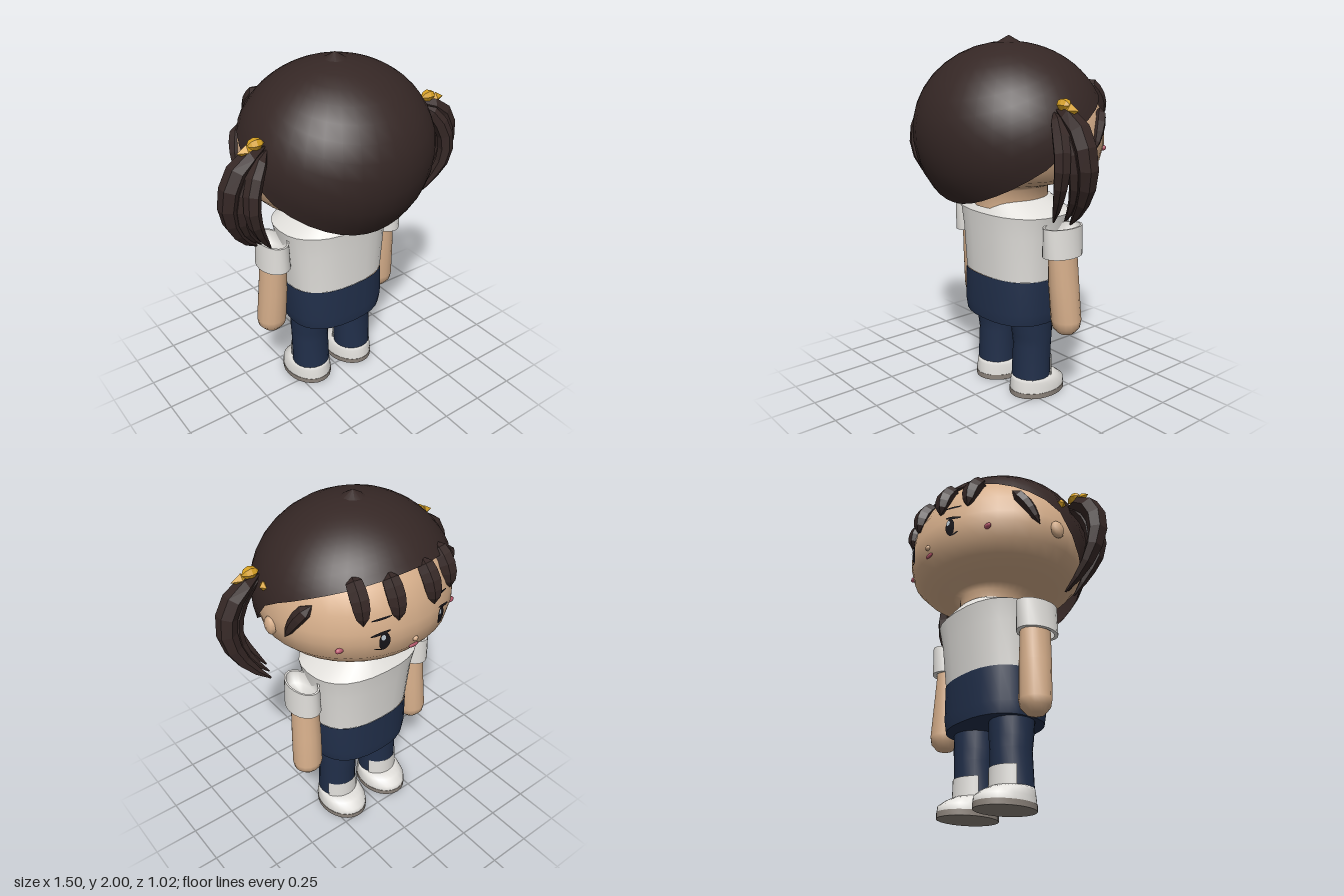
import * as THREE from 'three';

const V = (x, y, z) => new THREE.Vector3(x, y, z);

// Head cross-sections from neck to crown: [y, half width, half depth, z centre]
const HEAD = [
  [1.1, .185, .215, -.02], [1.2, .19, .215, -.02], [1.22, .24, .245, -.02], [1.25, .34, .33, -.015],
  [1.29, .44, .42, -.01], [1.35, .5, .47, -.01], [1.44, .525, .49, -.01], [1.5, .525, .488, -.01],
  [1.6, .51, .475, -.01], [1.7, .46, .43, -.01], [1.8, .37, .35, -.01], [1.9, .23, .21, -.01], [1.94, 0, 0, -.01],
];

// Piecewise linear lookup in a table whose first column ascends
function sample(table, v) {
  let i = 0;
  while (i < table.length - 2 && v > table[i + 1][0]) i++;
  const a = table[i], b = table[i + 1];
  const t = THREE.MathUtils.clamp((v - a[0]) / (b[0] - a[0]), 0, 1);
  return a.map((n, k) => n + (b[k] - n) * t);
}

// Point on the face, which looks towards -z
function onFace(x, y, offset = 0) {
  const [, rx, rz, cz] = sample(HEAD, y);
  return V(x, y, cz - rz * Math.sqrt(Math.max(0, 1 - (x / rx) ** 2)) - offset);
}

// Surface over a grid of rows going upward and columns going round
function grid(rows, cols, point) {
  const pos = [], idx = [];
  for (let i = 0; i < rows; i++) {
    for (let j = 0; j < cols; j++) {
      pos.push(...point(i, j / cols * Math.PI * 2));
      if (i === rows - 1) continue;
      const a = i * cols + j, b = i * cols + (j + 1) % cols;
      idx.push(a, b, a + cols, b, b + cols, a + cols);
    }
  }
  const g = new THREE.BufferGeometry();
  g.setAttribute('position', new THREE.Float32BufferAttribute(pos, 3));
  g.setIndex(idx);
  g.computeVertexNormals();
  return g;
}

// Stack of (super)elliptical rings; a repeated ring gives a sharp edge
function loft(rings, sides = 24, power = 2) {
  const bend = v => Math.sign(v) * Math.abs(v) ** (2 / power);
  return grid(rings.length, sides, (i, a) => {
    const [y, rx, rz, cz = 0, cx = 0] = rings[i];
    return [cx + rx * bend(Math.sin(a)), y, cz + rz * bend(Math.cos(a))];
  });
}

// Faceted tapering lock along a curve
function lock(points, radii, sides = 6) {
  const curve = new THREE.CatmullRomCurve3(points);
  const n = radii.length - 1;
  const g = new THREE.TubeGeometry(curve, n, 1, sides);
  const p = g.attributes.position, v = V();
  for (let k = 0; k < p.count; k++) {
    const i = Math.floor(k / (sides + 1));
    const c = curve.getPointAt(i / n);
    v.fromBufferAttribute(p, k).sub(c).multiplyScalar(radii[i]).add(c);
    p.setXYZ(k, v.x, v.y, v.z);
  }
  const flat = g.toNonIndexed();
  flat.computeVertexNormals();
  return flat;
}

// Thin oval laid on the face
function facePatch(x, y, w, h, tilt = 0, offset = .005) {
  const g = new THREE.CircleGeometry(1, 16).scale(w, h, 1).rotateZ(tilt).translate(x, y, 0);
  const p = g.attributes.position;
  for (let i = 0; i < p.count; i++) p.setZ(i, onFace(p.getX(i), p.getY(i), offset).z);
  g.computeVertexNormals();
  return g;
}

export function createModel() {
  const model = new THREE.Group();
  const material = (name, color, side = THREE.FrontSide) => {
    const m = new THREE.MeshStandardMaterial({ color, side });
    m.name = name;
    return m;
  };
  const hair = material('dark brown hair', 0x352725, THREE.DoubleSide);
  const skin = material('skin', 0xd8b08c);
  const white = material('off white cloth', 0xe2e0dc, THREE.DoubleSide);
  const navy = material('navy cloth', 0x212f4a);
  const sole = material('taupe sole', 0x8d847c);
  const gold = material('gold ribbon', 0xd6a022);
  const pink = material('pink', 0xb8586c);
  const ink = material('eye black', 0x17151a, THREE.DoubleSide);
  const shine = material('eye highlight', 0xb9c6d0, THREE.DoubleSide);
  const add = (name, geometry, mat) => {
    const m = new THREE.Mesh(geometry, mat);
    m.name = name;
    model.add(m);
    return m;
  };
  const ball = (name, mat, p, sx, sy, sz, seg = 10) => {
    const m = add(name, new THREE.SphereGeometry(1, seg, Math.ceil(seg * .7)), mat);
    m.position.copy(p);
    m.scale.set(sx, sy, sz);
    return m;
  };

  // Head with neck
  add('head', loft(HEAD, 36), skin);

  // Hair cap: hem runs from the nape up to the fringe
  const hem = [[-1, 1.75], [-.55, 1.68], [-.2, 1.61], [0, 1.55], [.25, 1.4], [.6, 1.28], [1, 1.15]];
  add('hairCap', grid(13, 36, (i, a) => {
    const y0 = sample(hem, Math.cos(a))[1] - 1.5;
    const start = Math.asin(y0 / (y0 > 0 ? .47 : .51));
    const phi = start + (Math.PI / 2 - start) * i / 12;
    const r = Math.cos(phi), s = Math.sin(phi);
    return [.54 * r * Math.sin(a), 1.5 + s * (s > 0 ? .47 : .51), .51 * r * Math.cos(a)];
  }), hair);
  add('crownTuft', new THREE.ConeGeometry(.08, .045, 12).translate(0, 1.9775, 0), hair);

  // Torso and hips
  add('shirt', loft([
    [.71, .297, .219, -.033], [.95, .315, .236, -.04], [1.07, .34, .25, -.045], [1.07, .34, .25, -.045],
    [1.14, .19, .2, -.04], [1.14, .19, .2, -.04], [1.14, 0, 0, -.04],
  ], 28, 2.4), white);
  add('shorts', loft([
    [.455, 0, 0, -.03], [.455, .287, .218, -.03], [.455, .287, .218, -.03],
    [.52, .3, .224, -.03], [.71, .299, .221, -.033],
  ], 28, 2.4), navy);

  // Nose and mouth
  ball('nose', skin, onFace(0, 1.4), .016, .016, .014);
  ball('mouth', pink, onFace(0, 1.355), .032, .012, .008);

  for (const s of [1, -1]) {
    const side = s > 0 ? 'left' : 'right';
    const path = list => list.map(([x, y, z]) => V(s * x, y, z));

    // Arm with rounded hand, and cuffed sleeve
    add(side + 'Arm', loft([
      [.41, 0, 0, -.08, s * .392], [.425, .045, .045, -.08, s * .392], [.46, .078, .075, -.08, s * .391],
      [.5, .085, .083, -.08, s * .39], [.7, .08, .087, -.067, s * .381], [.94, .066, .088, -.055, s * .375],
    ], 16), skin);
    const c = s * .383;
    add(side + 'Sleeve', loft([
      [.87, .068, .1, -.05, c], [.87, .087, .122, -.05, c], [.87, .087, .122, -.05, c],
      [1.03, .076, .126, -.05, c], [1.03, .076, .126, -.05, c], [1.03, .066, .114, -.05, c],
      [1.03, .066, .114, -.05, c], [.95, .064, .108, -.05, c], [.95, 0, 0, -.05, c],
    ], 20), white);

    // Leg, sock patch on the front of the ankle, shoe and sole
    const lx = s * .155;
    add(side + 'Leg', loft([
      [.09, .112, .11, -.036, lx], [.3, .11, .108, -.044, lx], [.36, .115, .114, -.042, lx],
      [.48, .118, .122, -.035, lx],
    ], 20), navy);
    const sock = add(side + 'Sock',
      new THREE.CylinderGeometry(.117, .119, .11, 10, 1, true, Math.PI - 1.1, 2.2), white);
    sock.position.set(lx, .157, -.04);
    add(side + 'Shoe', loft([
      [.03, .134, .171, -.083, lx], [.06, .132, .168, -.083, lx], [.09, .125, .145, -.065, lx],
      [.11, .115, .122, -.047, lx], [.11, 0, 0, -.047, lx],
    ], 24), white);
    add(side + 'Sole', loft([
      [0, 0, 0, -.083, lx], [0, .135, .173, -.083, lx], [0, .135, .173, -.083, lx],
      [.03, .136, .173, -.083, lx], [.03, .136, .173, -.083, lx], [.03, 0, 0, -.083, lx],
    ], 24), sole);

    // Ear, eye, lashes, brow and cheek
    ball(side + 'Ear', skin, V(s * .525, 1.44, -.015), .025, .05, .045, 8);
    add(side + 'Eye', facePatch(s * .18, 1.45, .027, .052), ink);
    add(side + 'EyeHighlight', facePatch(s * .18 + .008, 1.475, .011, .016, 0, .008), shine);
    add(side + 'UpperLash', facePatch(s * .2, 1.5, .05, .008, -s * .25, .008), ink);
    add(side + 'LowerLash', facePatch(s * .205, 1.405, .022, .004, s * .3), ink);
    add(side + 'Brow', facePatch(s * .19, 1.575, .05, .006, -s * .15), ink);
    ball(side + 'Cheek', pink, onFace(s * .36, 1.41), .026, .016, .014);

    // Fringe locks and the lock before the ear
    for (const x of [.11, .27]) {
      add(side + 'FringeLock', lock(
        [onFace(s * x * .95, 1.77, .015), onFace(s * x, 1.67, .02), onFace(s * x * 1.02, 1.55, .012)],
        [0, .045, .05, .05, .046, .034, 0]), hair);
    }
    add(side + 'TempleLock', lock(path([[.435, 1.64, -.25], [.485, 1.55, -.19], [.52, 1.43, -.13]]),
      [0, .036, .037, .032, .022, 0]), hair);

    // Pigtail of three curved locks
    const taper = [0, .045, .055, .056, .053, .046, .036, .024, .006];
    add(side + 'PigtailOuter', lock(path([
      [.48, 1.66, .11], [.62, 1.6, .11], [.7, 1.45, .11], [.68, 1.29, .09], [.6, 1.16, .06], [.52, 1.08, .03],
    ]), taper), hair);
    add(side + 'PigtailInner', lock(path([
      [.48, 1.65, .12], [.56, 1.58, .16], [.62, 1.44, .19], [.61, 1.32, .19], [.56, 1.21, .16], [.49, 1.1, .12],
    ]), taper.map(r => r * .8)), hair);
    add(side + 'PigtailMiddle', lock(path([
      [.49, 1.64, .1], [.57, 1.57, .13], [.64, 1.42, .13], [.63, 1.28, .11], [.57, 1.17, .08], [.51, 1.1, .06],
    ]), taper.map(r => r * .75)), hair);

    // Ribbon bow: knot and pointed loops
    const knot = lock(path([[.49, 1.68, .11], [.54, 1.685, .11], [.59, 1.68, .11]]), [0, .026, .032, .026, 0]);
    add(side + 'BowKnot', knot, gold);
    for (const [x, y, z, sx, sy, sz] of [[.59, 1.662, .115, .055, .033, .022], [.515, 1.635, .035, .022, .03, .03]]) {
      const loop = add(side + 'BowLoop', new THREE.OctahedronGeometry(1), gold);
      loop.position.set(s * x, y, z);
      loop.scale.set(sx, sy, sz);
    }
  }
  return model;
}
